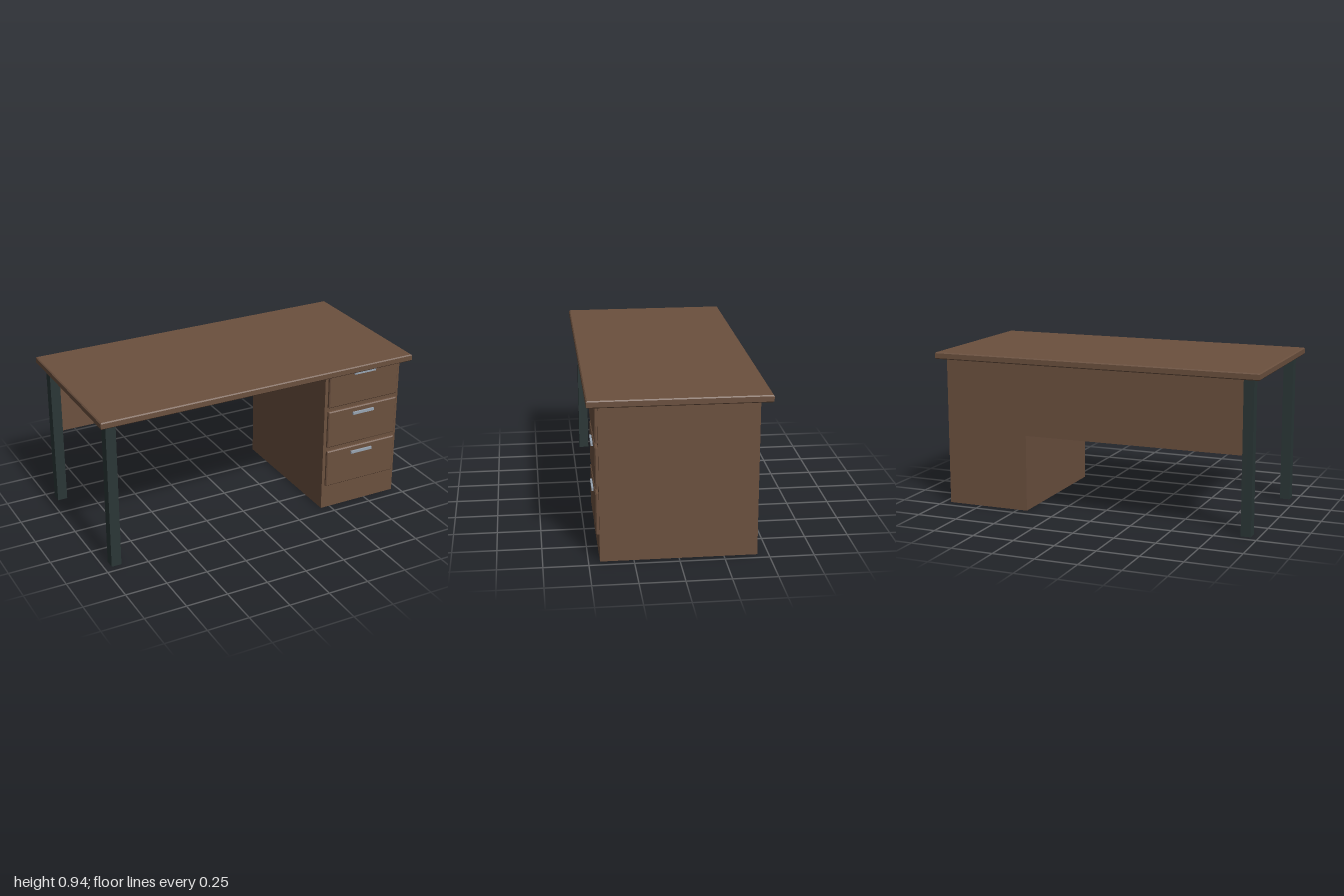
import * as THREE from 'three';

const wood = new THREE.MeshStandardMaterial({ color: 0x6b503e });
wood.name = 'brown wood';
const darkMetal = new THREE.MeshStandardMaterial({ color: 0x2a3636 });
darkMetal.name = 'dark metal';
const silver = new THREE.MeshStandardMaterial({ color: 0x98a4b2 });
silver.name = 'silver';

// Plain box given by its minimum and maximum corners
function box(name, material, min, max) {
  const size = max.map((v, i) => v - min[i]);
  const mesh = new THREE.Mesh(new THREE.BoxGeometry(...size), material);
  mesh.position.set(...max.map((v, i) => (v + min[i]) / 2));
  mesh.name = name;
  return mesh;
}

// Board with chamfered edges, centred, with its thickness along z
function chamferedBoard(width, height, depth, bevel) {
  const w = width / 2 - bevel, h = height / 2 - bevel;
  const shape = new THREE.Shape([
    new THREE.Vector2(-w, -h), new THREE.Vector2(w, -h),
    new THREE.Vector2(w, h), new THREE.Vector2(-w, h),
  ]);
  const geometry = new THREE.ExtrudeGeometry(shape, {
    depth: depth - 2 * bevel, bevelEnabled: true,
    bevelSize: bevel, bevelThickness: bevel, bevelSegments: 1,
  });
  return geometry.center();
}

export function createModel() {
  const desk = new THREE.Group();
  desk.name = 'desk';

  // Table top
  const top = new THREE.Mesh(chamferedBoard(2, 1, 0.041, 0.006).rotateX(-Math.PI / 2), wood);
  top.position.y = 0.917;
  top.name = 'tableTop';
  desk.add(top);

  // Pedestal and the panel behind the knees
  desk.add(box('pedestal', wood, [0.44, 0, -0.437], [0.957, 0.9, 0.437]));
  desk.add(box('modestyPanel', wood, [-0.9, 0.46, -0.437], [0.44, 0.9, -0.417]));

  // Legs
  for (const side of [1, -1]) {
    const name = side > 0 ? 'frontLeg' : 'backLeg';
    const z = side * 0.425;
    desk.add(box(name, darkMetal, [-0.957, 0, z - 0.03], [-0.897, 0.892, z + 0.03]));
  }

  // Drawers with handles
  const frontGeometry = chamferedBoard(0.476, 0.236, 0.024, 0.006);
  for (let i = 0; i < 3; i++) {
    const y = 0.272 + i * 0.2625;
    const drawer = new THREE.Group();
    drawer.name = 'drawer';
    const front = new THREE.Mesh(frontGeometry, wood);
    front.position.set(0.698, y, 0.443);
    front.name = 'drawerFront';
    drawer.add(front);
    drawer.add(box('handle', silver, [0.625, y + 0.072, 0.45], [0.771, y + 0.088, 0.466]));
    desk.add(drawer);
  }

  return desk;
}
